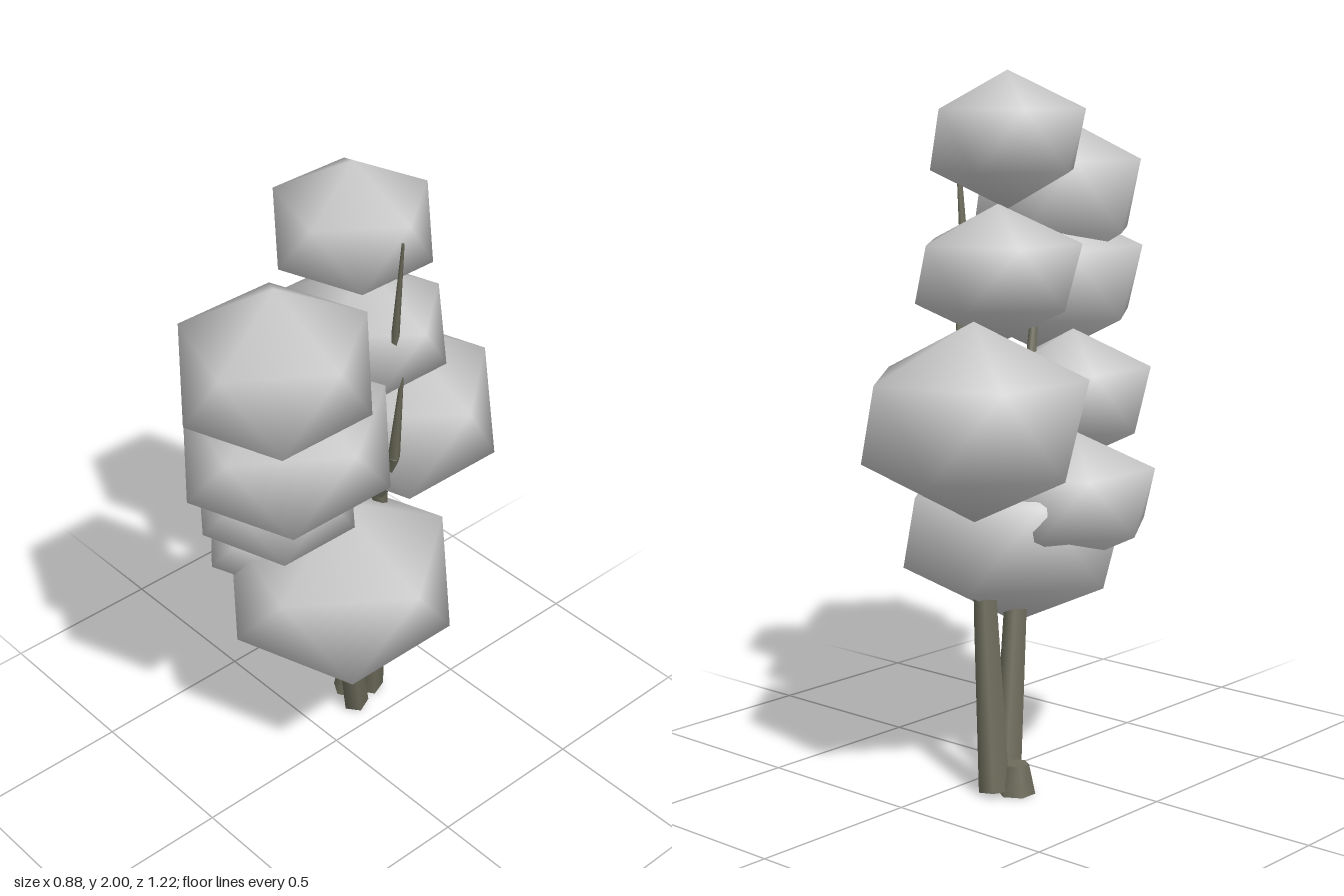
import * as THREE from 'three';
import { mergeVertices } from 'three/addons/utils/BufferGeometryUtils.js';

const leafMaterial = new THREE.MeshStandardMaterial({ color: 0xcccccc });
const barkMaterial = new THREE.MeshStandardMaterial({ color: 0x6e6d5c });

// Smooth-shaded icosahedron standing on a corner
function leafGeometry(rx, ry, rz) {
  let g = new THREE.IcosahedronGeometry(1, 0);
  g.rotateZ(-Math.atan(2 / (1 + Math.sqrt(5))));
  g.deleteAttribute('uv');
  g.deleteAttribute('normal');
  g = mergeVertices(g, 1e-3);
  g.scale(rx, ry, rz);
  g.computeVertexNormals();
  return g;
}

// Tapered stem: a chain of five-sided segments through [x, y, z, radius]
function stem(name, points) {
  const group = new THREE.Group();
  group.name = name;
  for (let i = 0; i < points.length - 1; i++) {
    const a = new THREE.Vector3(...points[i].slice(0, 3));
    const b = new THREE.Vector3(...points[i + 1].slice(0, 3));
    const dir = b.clone().sub(a);
    const segment = new THREE.Mesh(
      new THREE.CylinderGeometry(points[i + 1][3], points[i][3], dir.length(), 5), barkMaterial);
    segment.name = name + 'Segment';
    segment.position.copy(a).add(b).multiplyScalar(0.5);
    segment.quaternion.setFromUnitVectors(new THREE.Vector3(0, 1, 0), dir.normalize());
    group.add(segment);
  }
  return group;
}

export function createModel() {
  const tree = new THREE.Group();
  tree.name = 'tree';

  // Foliage clumps: x, y, z, then radii in x, y, z
  const clumps = [
    [-0.01, 1.81, -0.068, 0.243, 0.19, 0.24],
    [0.175, 1.635, 0.362, 0.275, 0.235, 0.285],
    [0.17, 1.385, 0.325, 0.302, 0.23, 0.318],
    [-0.045, 1.447, -0.147, 0.268, 0.192, 0.245],
    [-0.123, 1.065, -0.332, 0.358, 0.273, 0.328],
    [-0.02, 1.067, 0.207, 0.255, 0.195, 0.245],
    [-0.155, 0.805, 0.055, 0.24, 0.19, 0.275],
    [0.04, 0.692, 0.02, 0.367, 0.277, 0.365],
  ];
  for (const [x, y, z, rx, ry, rz] of clumps) {
    const clump = new THREE.Mesh(leafGeometry(rx, ry, rz), leafMaterial);
    clump.name = 'foliageClump';
    clump.position.set(x, y, z);
    tree.add(clump);
  }

  // Two leaning stems that thin out into the foliage
  tree.add(stem('frontStem', [
    [-0.088, 0.01, -0.16, 0.042], [-0.02, 0.5, -0.045, 0.034], [0.02, 0.94, 0.04, 0.02],
    [0.05, 1.17, 0.1, 0.016], [0.08, 1.3, 0.15, 0.012], [0.15, 1.6, 0.32, 0.004],
  ]));
  tree.add(stem('backStem', [
    [-0.122, 0.008, -0.25, 0.046], [-0.045, 0.5, -0.2, 0.035], [0.01, 0.9, -0.16, 0.024],
    [0.1, 1.09, -0.128, 0.018], [0.155, 1.4, -0.1, 0.005],
  ]));
  tree.add(stem('topBranch', [[0.13, 1.45, -0.09, 0.014], [0.2, 1.85, -0.05, 0.004]]));

  // Root stump joining the stems at the ground
  const root = new THREE.Mesh(new THREE.CylinderGeometry(0.036, 0.054, 0.085, 6), barkMaterial);
  root.name = 'rootStump';
  root.position.set(-0.158, 0.0425, -0.2);
  tree.add(root);
  return tree;
}
